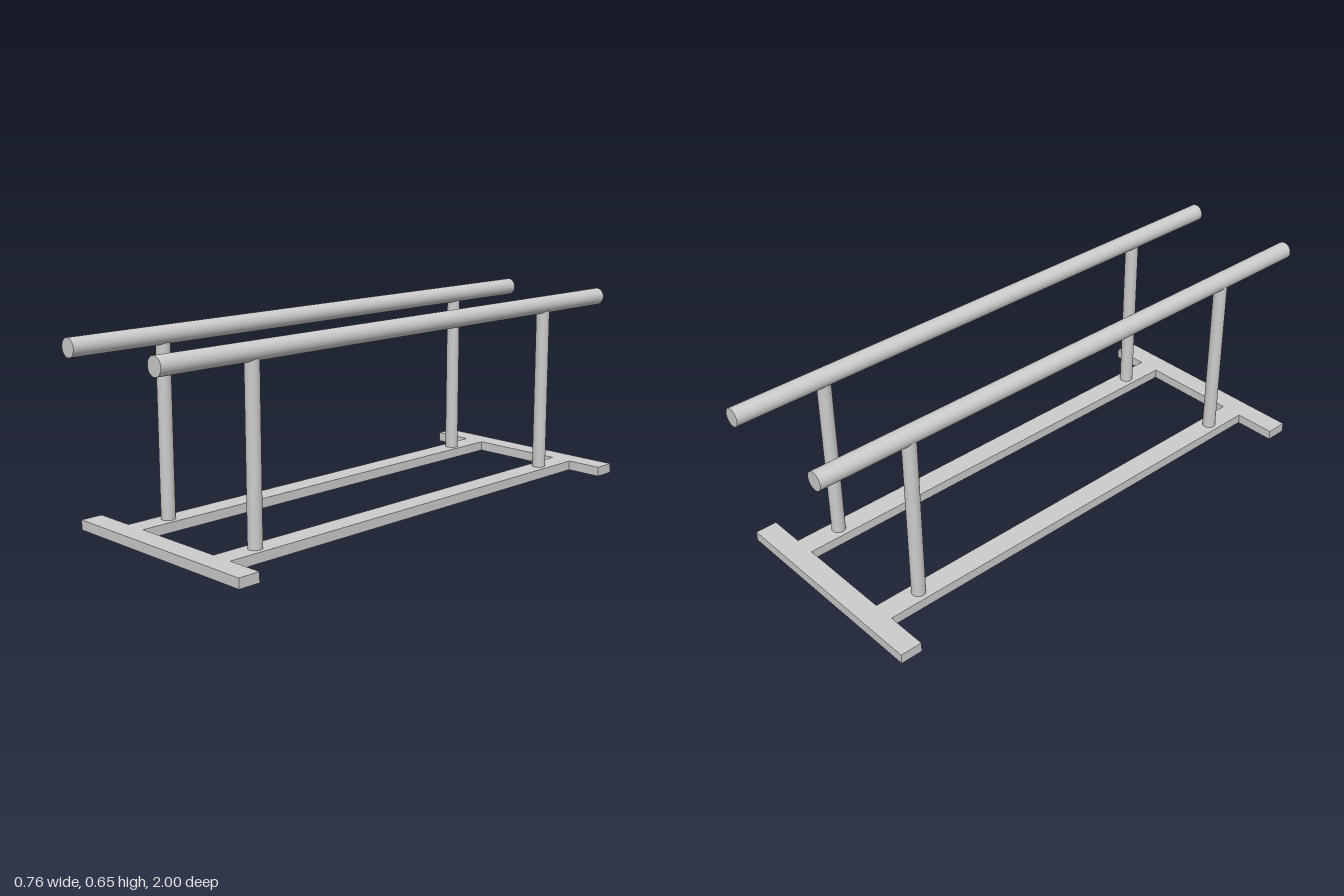
import * as THREE from 'three';

export function createModel() {
  const model = new THREE.Group();
  const material = new THREE.MeshStandardMaterial({ color: 0xcccccc });
  const add = (name, geometry, x, y, z) => {
    const mesh = new THREE.Mesh(geometry, material);
    mesh.name = name;
    mesh.position.set(x, y, z);
    model.add(mesh);
  };

  const baseHeight = 0.033;
  const barDepth = 0.075;
  const frontZ = 0.823, backZ = -0.851;
  const postBottom = baseHeight, postTop = 0.605;

  // Flat crossbars at both ends of the base
  const crossbar = new THREE.BoxGeometry(0.765, baseHeight, barDepth);
  add('frontCrossbar', crossbar, 0, baseHeight / 2, frontZ);
  add('backCrossbar', crossbar, 0, baseHeight / 2, backZ);

  const beam = new THREE.BoxGeometry(0.076, baseHeight, frontZ - backZ - barDepth);
  const post = new THREE.CylinderGeometry(0.023, 0.023, postTop - postBottom, 40);
  const rail = new THREE.CylinderGeometry(0.03, 0.03, 2, 48).rotateX(Math.PI / 2);

  // Each side: base beam, two posts and a round handrail
  const sides = [
    { side: 'right', x: -0.201, railX: -0.197 },
    { side: 'left', x: 0.217, railX: 0.217 },
  ];
  for (const { side, x, railX } of sides) {
    add(`${side}BaseBeam`, beam, x, baseHeight / 2, (frontZ + backZ) / 2);
    add(`${side}FrontPost`, post, x, (postTop + postBottom) / 2, 0.66);
    add(`${side}BackPost`, post, x, (postTop + postBottom) / 2, -0.68);
    add(`${side}Rail`, rail, railX, 0.618, 0);
  }
  return model;
}
